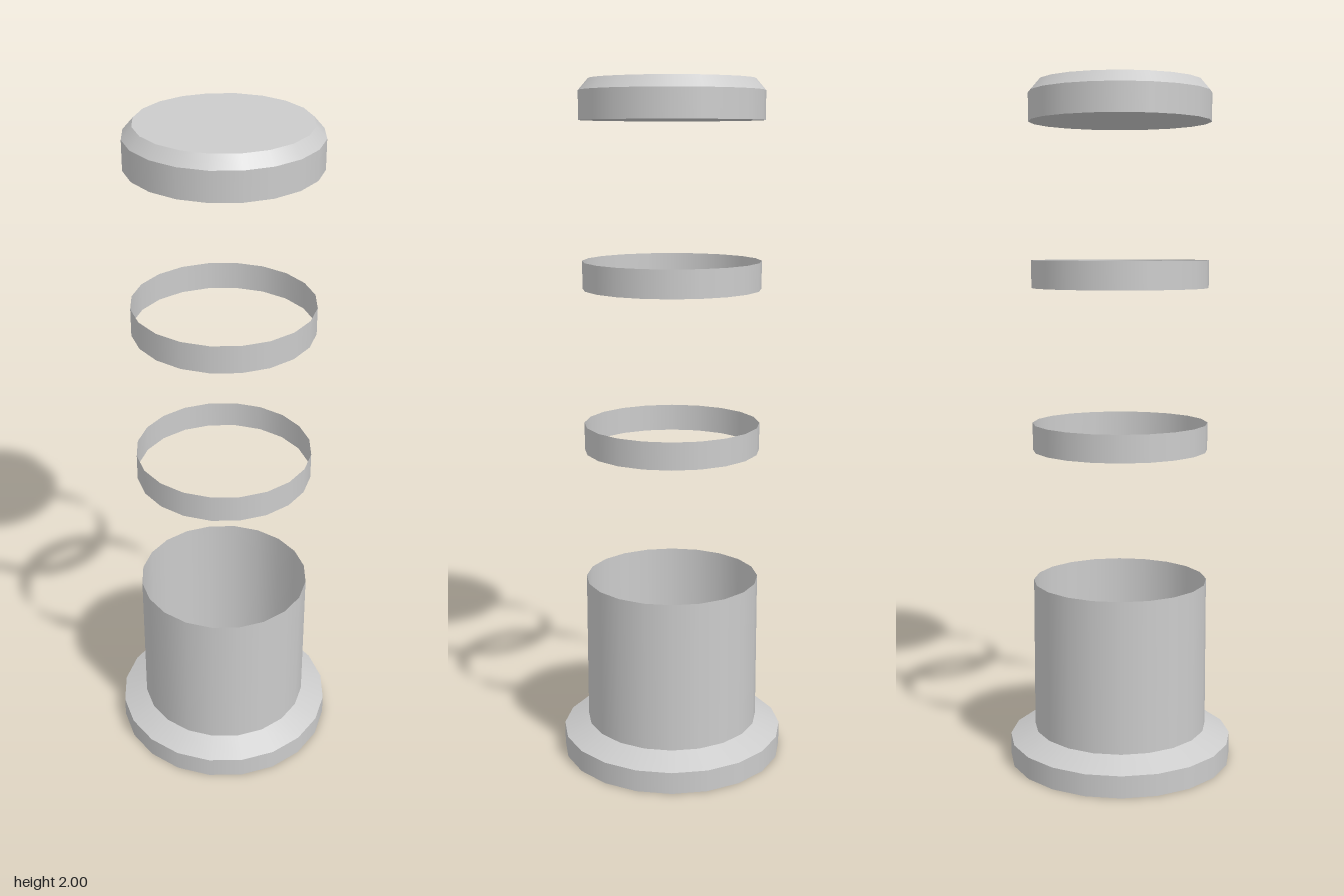
import * as THREE from 'three';
import { mergeGeometries } from 'three/addons/utils/BufferGeometryUtils.js';

const SIDES = 20;
const material = new THREE.MeshStandardMaterial({ color: 0xcccccc, side: THREE.DoubleSide });

// Turns a profile of [radius, y] points; smooth around, sharp between bands.
function turned(name, profile) {
  const bands = [];
  for (let i = 0; i < profile.length - 1; i++) {
    const pair = [profile[i], profile[i + 1]].map(([r, y]) => new THREE.Vector2(r, y));
    bands.push(new THREE.LatheGeometry(pair, SIDES));
  }
  const mesh = new THREE.Mesh(mergeGeometries(bands), material);
  mesh.name = name;
  return mesh;
}

export function createModel() {
  const model = new THREE.Group();
  model.name = 'explodedContainer';

  // Open cup on a chamfered foot with a shallow recess underneath
  model.add(turned('cup', [
    [0, 0.05], [0.203, 0.05], [0.203, 0], [0.332, 0],
    [0.332, 0.065], [0.258, 0.098], [0.258, 0.546],
  ]));

  // Two thin open bands floating above the cup
  [['lowerRing', 0.94], ['upperRing', 1.415]].forEach(([name, y]) => {
    model.add(turned(name, [[0.258, y], [0.258, y + 0.08]]));
  });

  // Closed cap with a chamfered top edge
  model.add(turned('cap', [
    [0, 1.887], [0.263, 1.887], [0.263, 1.968], [0.235, 2], [0, 2],
  ]));

  return model;
}
